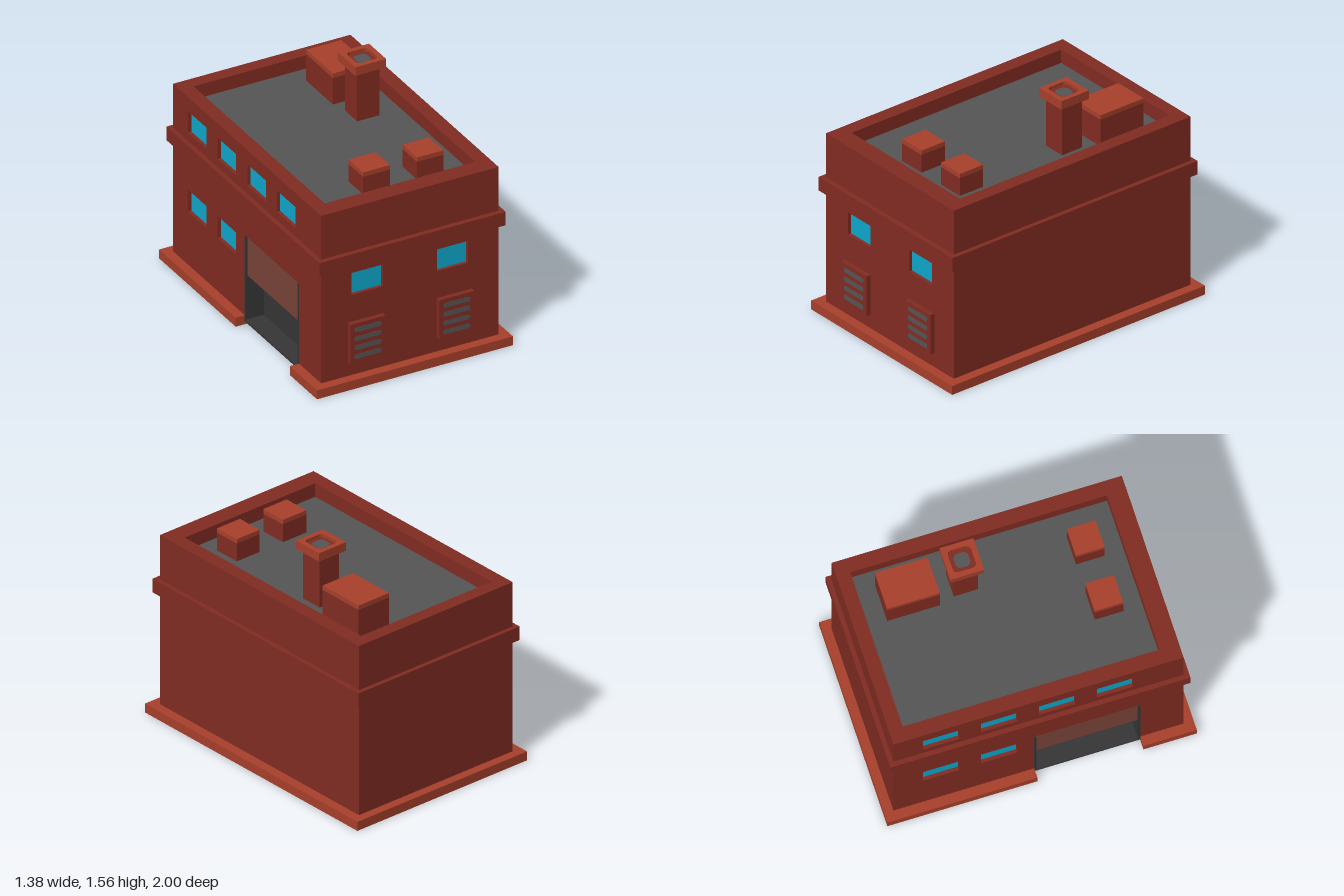
import * as THREE from 'three';

export function createModel() {
  const root = new THREE.Group();
  root.name = 'building';
  const mat = (name, color) => {
    const m = new THREE.MeshStandardMaterial({ color });
    m.name = name;
    return m;
  };
  const wall = mat('brick red', 0x822c22);
  const trim = mat('light brick', 0xa8402b);
  const grey = mat('roof grey', 0x565656);
  const glass = mat('window blue', 0x0ea8cc);
  const dark = mat('garage charcoal', 0x363636);
  const brown = mat('shutter brown', 0x7a4439);

  const add = (name, geo, material) => {
    const m = new THREE.Mesh(geo, material);
    m.name = name;
    root.add(m);
    return m;
  };
  // Box given by its limits on each axis
  const box = (name, material, x0, x1, y0, y1, z0, z1) =>
    add(name, new THREE.BoxGeometry(x1 - x0, y1 - y0, z1 - z0)
      .translate((x0 + x1) / 2, (y0 + y1) / 2, (z0 + z1) / 2), material);
  const points = (list) => list.map(([x, y]) => new THREE.Vector2(x, y));
  const rect = (x0, x1, y0, y1) => points([[x0, y0], [x1, y0], [x1, y1], [x0, y1]]);
  const panel = (outline, holes, depth) => {
    const s = new THREE.Shape(outline);
    holes.forEach((h) => s.holes.push(new THREE.Path(h)));
    return new THREE.ExtrudeGeometry(s, { depth, bevelEnabled: false, curveSegments: 6 });
  };
  const rounded = (w, h, r) => {
    const s = new THREE.Shape(), x = w / 2, y = h / 2;
    s.moveTo(x, -y + r);
    s.lineTo(x, y - r).absarc(x - r, y - r, r, 0, Math.PI / 2);
    s.lineTo(-x + r, y).absarc(-x + r, y - r, r, Math.PI / 2, Math.PI);
    s.lineTo(-x, -y + r).absarc(-x + r, -y + r, r, Math.PI, Math.PI * 1.5);
    s.lineTo(x - r, -y).absarc(x - r, -y + r, r, Math.PI * 1.5, Math.PI * 2);
    return s.getPoints(4);
  };

  // Walls, rising past the roof as a parapet
  const bottom = 0.03, top = 1.25;
  box('rightWall', wall, 0.53, 0.625, bottom, top, -0.85, 0.81);
  box('backWall', wall, -0.625, 0.625, bottom, top, -0.94, -0.85);
  box('roof', grey, -0.53, 0.53, 1.12, 1.156, -0.85, 0.81);
  box('underside', wall, -0.53, 0.53, bottom, 0.035, -0.85, 0.81);

  // Front wall with two recessed windows
  const frontWindows = [-0.3, 0.3].map((x) => [x - 0.11, x + 0.11, 0.63, 0.785]);
  add('frontWall', panel(rect(-0.625, 0.625, bottom, top),
    frontWindows.map((w) => rect(...w)), 0.125).translate(0, 0, 0.81), wall);
  frontWindows.forEach((w) => box('frontWindow', glass, ...w, 0.905, 0.912));

  // Windowed side wall, notched for the garage door
  const d0 = -0.03, d1 = 0.655, dTop = 0.63;
  const sideWindows = [
    ...[-0.75, -0.375, 0, 0.375].map((z) => [z, z + 0.235, 1.0, 1.15]),
    ...[-0.75, -0.375].map((z) => [z, z + 0.235, 0.44, 0.594]),
  ];
  const sideOutline = points([[-0.85, bottom], [d0, bottom], [d0, dTop], [d1, dTop],
    [d1, bottom], [0.81, bottom], [0.81, top], [-0.85, top]]);
  add('garageWall', panel(sideOutline, sideWindows.map((w) => rect(...w)), 0.095)
    .rotateY(-Math.PI / 2).translate(-0.53, 0, 0), wall);
  sideWindows.forEach(([z0, z1, y0, y1]) =>
    box('sideWindow', glass, -0.602, -0.595, y0, y1, z0, z1));

  // Garage recess and half-open shutter
  box('garageFloor', dark, -0.63, -0.49, 0.025, 0.04, d0, d1);
  box('garageBack', dark, -0.5, -0.48, 0.04, dTop, d0, d1);
  box('garageJamb', dark, -0.628, -0.49, 0.04, dTop, d0, d0 + 0.015);
  box('garageJamb', dark, -0.628, -0.49, 0.04, dTop, d1 - 0.015, d1);
  box('shutter', brown, -0.615, -0.595, 0.35, dTop, d0 + 0.015, d1 - 0.015);

  // Band around the walls
  add('band', panel(rect(-0.656, 0.656, -0.97, 0.97), [rect(-0.61, 0.61, -0.92, 0.92)], 0.095)
    .rotateX(-Math.PI / 2).translate(0, 0.845, 0), wall);

  // Base kerb, open at the garage door
  const kerb = points([[-0.69, d0], [-0.69, -1], [0.69, -1], [0.69, 1], [-0.69, 1], [-0.69, d1],
    [-0.6, d1], [-0.6, 0.91], [0.6, 0.91], [0.6, -0.91], [-0.6, -0.91], [-0.6, d0]]);
  add('baseKerb', panel(kerb, [], 0.0625).rotateX(Math.PI / 2).translate(0, 0.0625, 0), trim);

  // Front vents with rounded slots
  for (const x of [-0.3125, 0.3125]) {
    box('vent', wall, x - 0.123, x + 0.123, 0.16, 0.44, 0.93, 0.968);
    for (let i = 0; i < 4; i++) {
      add('ventSlot', panel(rounded(0.19, 0.032, 0.0155), [], 0.004)
        .translate(x, 0.205 + i * 0.063, 0.966), grey);
    }
  }

  // Rooftop units with light lids
  const units = [[-0.19, 0, 0.5, 0.685, 1.312], [0.19, 0.375, 0.5, 0.685, 1.312],
    [0.19, 0.437, -0.72, -0.38, 1.375]];
  for (const [x0, x1, z0, z1, y] of units) {
    box('roofUnit', wall, x0, x1, 1.15, y - 0.031, z0, z1);
    box('roofUnitLid', trim, x0, x1, y - 0.031, y, z0, z1);
  }

  // Chimney with a hollow cap
  const cx = 0.297, cz = -0.203;
  box('chimney', wall, cx - 0.078, cx + 0.078, 1.15, 1.54, cz - 0.078, cz + 0.078);
  add('chimneyCap', panel(rect(-0.109, 0.109, -0.109, 0.109), [rounded(0.15, 0.15, 0.03)], 0.06)
    .rotateX(-Math.PI / 2).translate(cx, 1.502, cz), trim);
  add('chimneyFlue', panel(rounded(0.095, 0.095, 0.03), [], 0.005)
    .rotateX(-Math.PI / 2).translate(cx, 1.538, cz), grey);

  return root;
}
